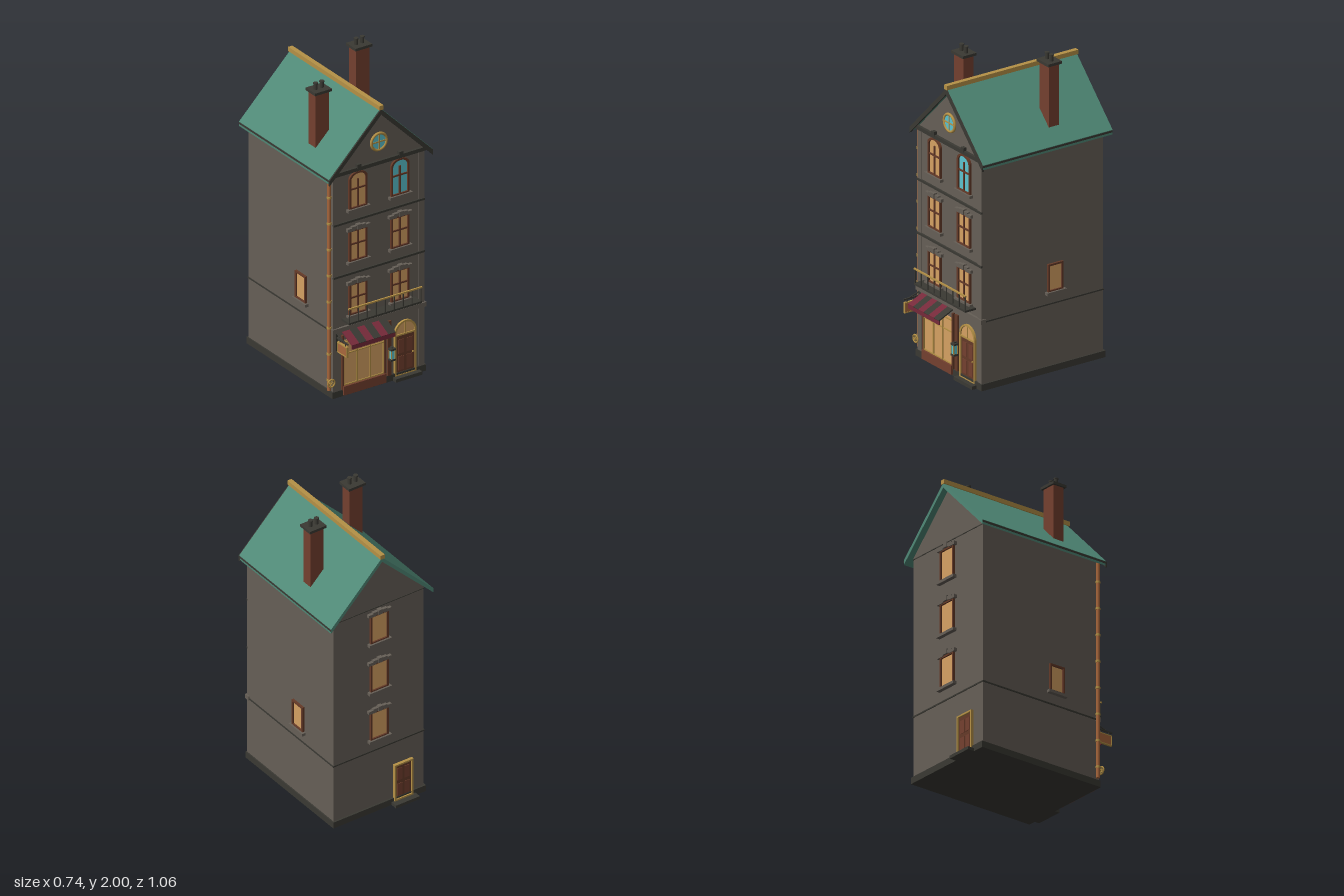
import * as THREE from 'three';

const mat = (name, color) => Object.assign(new THREE.MeshStandardMaterial({ color }), { name });
const M = {
  wall: mat('stone grey', 0x665f57), dark: mat('charcoal', 0x3a3933), roof: mat('green roof', 0x4f8876),
  brick: mat('brick red', 0x74402f), gold: mat('old gold', 0xb59146), amber: mat('warm glass', 0xd6a163),
  cyan: mat('cyan glass', 0x5cc4d0), maroon: mat('maroon cloth', 0x762a3a), copper: mat('copper', 0xa9673c),
  wood: mat('dark wood', 0x653a28),
};

const add = (parent, name, geo, m, x = 0, y = 0, z = 0) => {
  const mesh = new THREE.Mesh(geo, m);
  mesh.name = name;
  mesh.position.set(x, y, z);
  parent.add(mesh);
  return mesh;
};
// Box given by its limits on each axis
const box = (p, name, m, x0, x1, y0, y1, z0, z1) =>
  add(p, name, new THREE.BoxGeometry(x1 - x0, y1 - y0, z1 - z0), m, (x0 + x1) / 2, (y0 + y1) / 2, (z0 + z1) / 2);
const cyl = (p, name, m, r, h, x, y, z, n = 12) => add(p, name, new THREE.CylinderGeometry(r, r, h, n), m, x, y, z);
const group = (parent, name, x = 0, y = 0, z = 0, ry = 0) => {
  const g = new THREE.Group();
  g.name = name;
  g.position.set(x, y, z);
  g.rotation.y = ry;
  parent.add(g);
  return g;
};
const extrude = (shape, depth) => new THREE.ExtrudeGeometry(shape, { depth, bevelEnabled: false, curveSegments: 14 });
// Upright panel from y0 to y1 whose top may be an arch of the given rise
function panel(w, y0, y1, rise, S = THREE.Shape) {
  const s = new S();
  s.moveTo(-w / 2, y0);
  s.lineTo(w / 2, y0);
  s.lineTo(w / 2, y1 - rise);
  if (rise) s.absellipse(0, y1 - rise, w / 2, rise, 0, Math.PI, false);
  else s.lineTo(-w / 2, y1);
  s.lineTo(-w / 2, y0);
  return s;
}
function frame(p, name, m, w, y0, y1, rise, t, depth, z = 0) {
  const s = panel(w, y0, y1, rise);
  s.holes.push(panel(w - 2 * t, y0 + t, y1 - t, rise ? rise - t * 0.3 : 0, THREE.Path));
  return add(p, name, extrude(s, depth), m, 0, 0, z);
}

// Window facing local +z with its base at y = 0
function windowUnit(parent, name, x, y, z, ry, { w = 0.13, h = 0.22, rise = 0, glass = M.amber, bars = true, lintel = true }) {
  const g = group(parent, name, x, y, z, ry);
  add(g, 'pane', extrude(panel(w - 0.01, 0.005, h - 0.005, rise), 0.004), glass);
  frame(g, 'windowFrame', M.wood, w, 0, h, rise, 0.012, 0.014);
  if (bars) {
    box(g, 'mullion', M.wood, -0.006, 0.006, 0.01, h - (rise ? 0.05 : 0.01), 0, 0.011);
    box(g, 'transom', M.wood, -w / 2 + 0.01, w / 2 - 0.01, h * 0.52, h * 0.52 + 0.01, 0, 0.011);
  }
  box(g, 'sill', M.wall, -w / 2 - 0.015, w / 2 + 0.015, -0.014, 0.004, 0, 0.026);
  if (lintel) {
    for (const s of [-1, 1]) box(g, 'lintelEnd', M.wall, s * 0.055 - 0.027, s * 0.055 + 0.027, h - 0.006, h + 0.014, 0, 0.02);
    box(g, 'lintel', M.wall, -0.05, 0.05, h, h + 0.022, 0, 0.02);
    box(g, 'keystone', M.wall, -0.015, 0.015, h - 0.002, h + 0.03, 0, 0.026);
  }
}

function chimney(parent, x, z, top) {
  const g = group(parent, 'chimney', x, 0, z);
  box(g, 'chimneyStack', M.brick, -0.047, 0.047, 1.5, top, -0.037, 0.037);
  box(g, 'chimneyCap', M.dark, -0.06, 0.06, top, top + 0.017, -0.05, 0.05);
  for (const s of [-1, 1]) {
    cyl(g, 'chimneyPot', M.dark, 0.012, 0.045, s * 0.022, top + 0.037, 0);
    cyl(g, 'potRim', M.dark, 0.015, 0.008, s * 0.022, top + 0.056, 0);
  }
}

export function createModel() {
  const root = new THREE.Group();
  root.name = 'townhouse';
  const F = 0.4, B = -0.475, W = 0.327;

  // Walls with both gables in one prism, floor bands and corner strips
  const walls = new THREE.Shape([[-W, 0.03], [W, 0.03], [W, 1.47], [0, 1.797], [-W, 1.47]].map(a => new THREE.Vector2(...a)));
  add(root, 'walls', extrude(walls, F - B), M.wall, 0, 0, B);
  box(root, 'plinth', M.dark, -0.335, 0.335, 0, 0.042, B - 0.012, F + 0.012);
  box(root, 'groundFloorLedge', M.dark, -W - 0.004, W + 0.004, 0.432, 0.441, B - 0.004, F);
  box(root, 'shopCornice', M.wall, -W - 0.008, W + 0.008, 0.425, 0.455, F - 0.02, F + 0.015);
  for (const y of [0.785, 1.13]) box(root, 'floorBand', M.dark, -W, W, y, y + 0.013, F, F + 0.012);
  for (const s of [-1, 1]) box(root, 'cornerStrip', M.wall, s * 0.307 - 0.02, s * 0.307 + 0.02, 0.042, 1.46, F, F + 0.006);
  box(root, 'cornice', M.dark, -0.345, 0.345, 1.458, 1.482, F, F + 0.018);
  box(root, 'backSeam', M.dark, -W, W, 1.458, 1.463, B - 0.003, B);
  for (const x of [-0.15, 0.15]) box(root, 'corniceBlock', M.dark, x - 0.014, x + 0.014, 1.475, 1.502, F, F + 0.022);

  // Roof, front verge boards and gilded ridge
  const chevron = (t, drop) => new THREE.Shape([[-0.37, 1.463 - drop], [-0.37, 1.463 - drop - t], [0, 1.833 - drop - t],
    [0.37, 1.463 - drop - t], [0.37, 1.463 - drop], [0, 1.833 - drop]].map(a => new THREE.Vector2(...a)));
  add(root, 'roof', extrude(chevron(0.03, 0), 0.938), M.roof, 0, 0, -0.513);
  add(root, 'vergeBoard', extrude(chevron(0.036, 0.004), 0.012), M.dark, 0, 0, 0.42);
  for (const s of [-1, 1]) box(root, 'eavesBoard', M.dark, s * 0.365 - 0.006, s * 0.365 + 0.006, 1.447, 1.46, -0.513, 0.432);
  box(root, 'ridgeCap', M.gold, -0.015, 0.015, 1.825, 1.853, -0.518, 0.435);
  chimney(root, -0.241, 0.13, 1.895);
  chimney(root, 0.239, -0.147, 1.94);

  // Round gable window
  const rose = group(root, 'gableWindow', 0, 1.605, F);
  add(rose, 'roundPane', new THREE.CylinderGeometry(0.052, 0.052, 0.008, 28), M.cyan, 0, 0, 0.004).rotation.x = Math.PI / 2;
  add(rose, 'roundFrame', new THREE.TorusGeometry(0.054, 0.009, 8, 32), M.gold, 0, 0, 0.006);
  box(rose, 'roundBar', M.gold, -0.004, 0.004, -0.05, 0.05, 0, 0.012);
  box(rose, 'roundBar', M.gold, -0.05, 0.05, -0.004, 0.004, 0, 0.012);

  // Windows on all sides
  for (const x of [-0.15, 0.15]) {
    windowUnit(root, 'firstFloorWindow', x, 0.515, F, 0, { h: 0.21 });
    windowUnit(root, 'secondFloorWindow', x, 0.868, F, 0, { h: 0.21 });
    windowUnit(root, 'thirdFloorWindow', x, 1.213, F, 0, { h: 0.242, rise: 0.045, lintel: false, glass: x > 0 ? M.cyan : M.amber });
  }
  for (const y of [0.52, 0.868, 1.215]) windowUnit(root, 'backWindow', 0, y, B, Math.PI, { h: 0.205, bars: false });
  const side = { w: 0.11, h: 0.18, bars: false, lintel: false };
  windowUnit(root, 'rightSideWindow', W, 0.515, -0.123, Math.PI / 2, side);
  windowUnit(root, 'leftSideWindow', -W, 0.515, 0.08, -Math.PI / 2, side);

  // Balcony
  const balcony = group(root, 'balcony');
  box(balcony, 'balconyFloor', M.dark, -0.262, 0.26, 0.494, 0.507, F, 0.477);
  box(balcony, 'handrail', M.gold, -0.264, 0.262, 0.593, 0.602, 0.469, 0.479);
  for (let i = 0; i < 9; i++) cyl(balcony, 'baluster', M.dark, 0.004, 0.09, -0.256 + i * 0.064, 0.55, 0.473, 8);

  // Shop front
  const shop = group(root, 'shopFront');
  box(shop, 'stallRiser', M.brick, -0.262, 0.042, 0.008, 0.066, F, 0.424);
  box(shop, 'shopPane', M.amber, -0.255, 0.035, 0.066, 0.36, F, F + 0.006);
  for (const x of [-0.255, -0.159, -0.064, 0.032]) box(shop, 'shopMullion', M.gold, x - 0.004, x + 0.004, 0.066, 0.37, F, 0.413);
  for (const y of [0.066, 0.27, 0.345]) box(shop, 'shopRail', M.gold, -0.257, 0.036, y, y + 0.007, F, 0.412);
  for (const x of [-0.262, 0.04]) box(shop, 'shopPost', M.wood, x - 0.006, x + 0.006, 0.04, 0.4, F, 0.416);
  const sw = 0.312 / 6;
  for (let i = 0; i < 6; i++) {
    const x = -0.267 + sw * (i + 0.5), m = i % 2 ? M.dark : M.maroon;
    add(shop, 'awningStripe', new THREE.BoxGeometry(sw, 0.008, 0.13), m, x, 0.404, 0.456).rotation.x = Math.atan2(0.055, 0.115);
  }
  box(shop, 'awningValance', M.maroon, -0.267, 0.045, 0.35, 0.377, 0.508, 0.515);

  // Arched front door with fanlight and step
  const door = group(root, 'frontDoor', 0.188, 0, F);
  box(door, 'doorStep', M.dark, -0.092, 0.097, 0, 0.022, 0, 0.045);
  add(door, 'doorLeaf', extrude(panel(0.135, 0.022, 0.285, 0), 0.007), M.wood);
  add(door, 'fanlight', extrude(panel(0.135, 0.285, 0.362, 0.065), 0.006), M.amber);
  frame(door, 'doorFrame', M.gold, 0.155, 0.018, 0.376, 0.077, 0.011, 0.014);
  box(door, 'doorTransom', M.gold, -0.07, 0.07, 0.282, 0.292, 0, 0.013);
  box(door, 'fanBar', M.gold, -0.003, 0.003, 0.29, 0.366, 0, 0.011);
  for (const x of [-0.03, 0.03]) for (const y of [0.1, 0.21])
    box(door, 'doorPanel', M.brick, x - 0.021, x + 0.021, y - 0.045, y + 0.045, 0, 0.01);
  add(door, 'doorKnob', new THREE.SphereGeometry(0.006, 10, 8), M.gold, 0.052, 0.155, 0.012);

  // Back door
  const back = group(root, 'backDoor', -0.172, 0, B, Math.PI);
  box(back, 'backStep', M.dark, -0.086, 0.086, 0, 0.02, 0, 0.058);
  box(back, 'backDoorLeaf', M.wood, -0.058, 0.058, 0.02, 0.27, 0, 0.009);
  frame(back, 'backDoorFrame', M.gold, 0.136, 0.02, 0.278, 0, 0.011, 0.02);
  for (const x of [-0.026, 0.026]) for (const y of [0.09, 0.2])
    box(back, 'backDoorPanel', M.brick, x - 0.018, x + 0.018, y - 0.042, y + 0.042, 0, 0.012);

  // Post and lantern beside the door
  box(root, 'doorPost', M.wood, 0.06, 0.088, 0.04, 0.4, F, 0.412);
  const lantern = group(root, 'lantern', 0.08, 0.187, 0.428);
  box(lantern, 'lanternGlass', M.cyan, -0.012, 0.012, -0.028, 0.028, -0.012, 0.012);
  for (const y of [-0.034, 0.034]) box(lantern, 'lanternCap', M.dark, -0.018, 0.018, y - 0.006, y + 0.006, -0.016, 0.016);
  for (const x of [-0.013, 0.013]) for (const z of [-0.013, 0.013])
    box(lantern, 'lanternBar', M.gold, x - 0.003, x + 0.003, -0.03, 0.03, z - 0.003, z + 0.003);
  box(lantern, 'lanternArm', M.dark, -0.004, 0.004, 0.038, 0.046, -0.028, 0.004);

  // Hanging sign on its bracket
  const sign = group(root, 'hangingSign', -0.302, 0, 0);
  box(sign, 'signBoard', M.copper, -0.005, 0.005, 0.312, 0.372, 0.425, 0.515);
  for (const y of [0.308, 0.37]) box(sign, 'signEdge', M.gold, -0.007, 0.007, y, y + 0.007, 0.42, 0.52);
  for (const z of [0.42, 0.513]) box(sign, 'signEdge', M.gold, -0.007, 0.007, 0.308, 0.377, z, z + 0.007);
  box(sign, 'signArm', M.dark, -0.004, 0.004, 0.392, 0.4, F, 0.523);
  for (const z of [0.44, 0.5]) box(sign, 'signHanger', M.dark, -0.002, 0.002, 0.375, 0.394, z - 0.002, z + 0.002);
  const stay = new THREE.LineCurve3(new THREE.Vector3(0, 0.425, F), new THREE.Vector3(0, 0.397, 0.49));
  add(sign, 'signStay', new THREE.TubeGeometry(stay, 1, 0.004, 6), M.dark);
  box(sign, 'wallPlate', M.dark, -0.008, 0.008, 0.31, 0.43, F, 0.41);

  // Copper downpipe with collars and a valve wheel
  const pipe = group(root, 'downpipe', -0.342, 0, 0.385);
  cyl(pipe, 'pipe', M.copper, 0.011, 1.4, 0, 0.75, 0);
  for (let i = 0; i < 8; i++) cyl(pipe, 'pipeCollar', M.gold, 0.014, 0.014, 0, 0.12 + i * 0.172, 0);
  const wheel = group(pipe, 'valveWheel', 0, 0.105, 0.024);
  add(wheel, 'wheelRim', new THREE.TorusGeometry(0.024, 0.005, 8, 20), M.gold);
  for (let i = 0; i < 3; i++) add(wheel, 'wheelSpoke', new THREE.BoxGeometry(0.046, 0.004, 0.004), M.gold).rotation.z = i * Math.PI / 3;
  box(wheel, 'wheelStem', M.gold, -0.004, 0.004, -0.004, 0.004, -0.02, 0.006);
  return root;
}
